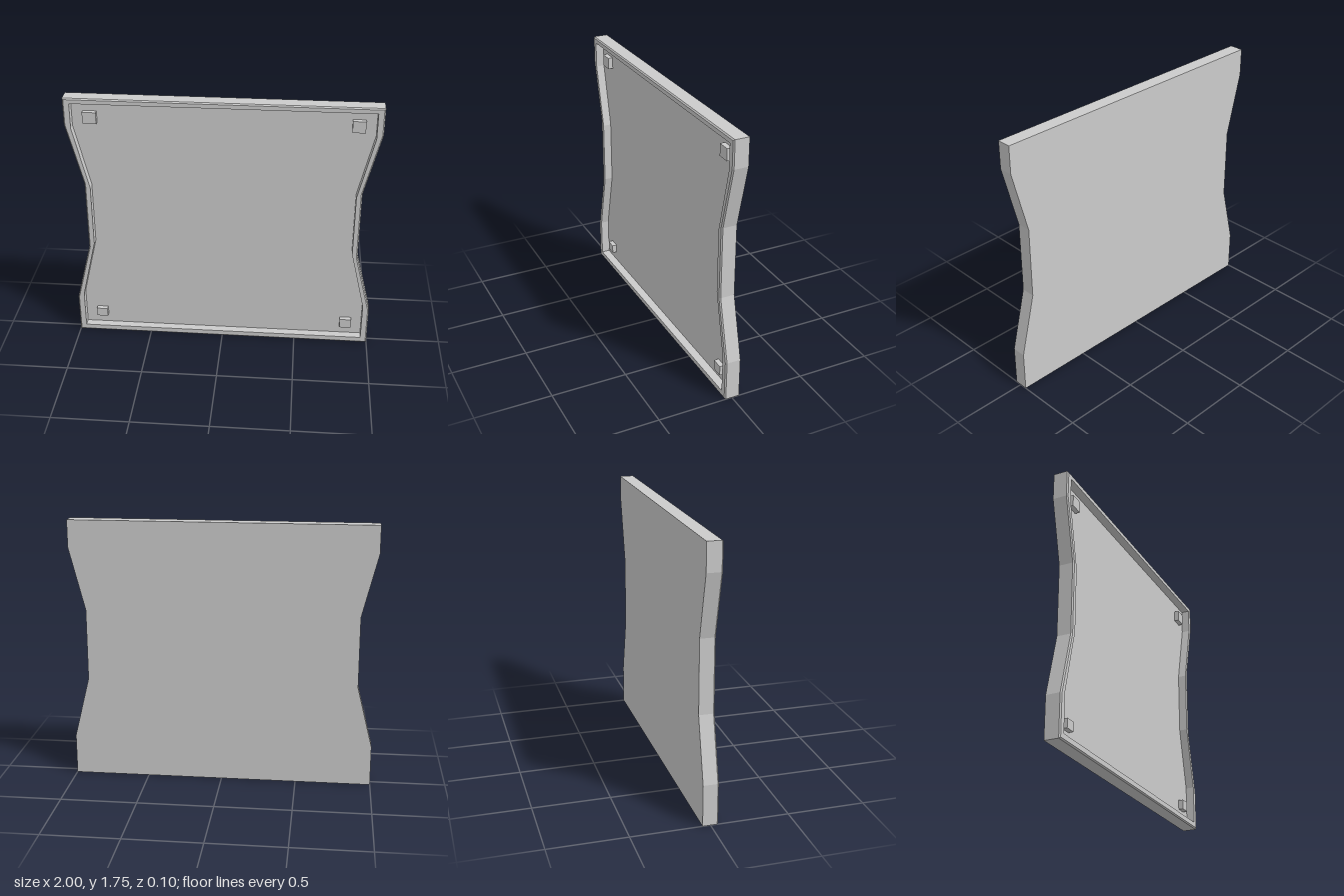
import * as THREE from 'three';

const BACK = -0.05, FRONT = 0.05, FLOOR = -0.005, BEVEL = 0.008;

// Waisted outline, counter-clockwise from the front; ys run from bottom to top.
function outline(wide, waist, ys) {
  const xs = [wide, wide, waist, waist, wide, wide];
  const right = ys.map((y, i) => new THREE.Vector2(xs[i], y));
  const left = right.map((p) => new THREE.Vector2(-p.x, p.y)).reverse();
  return [...right, ...left];
}

// Joins successive outlines with flat strips and caps both ends.
function loftPanel(sections) {
  const pos = [];
  const put = (p, z) => pos.push(p.x, p.y, z);
  const cap = ({ pts, z }, flip) => {
    for (const [a, b, c] of THREE.ShapeUtils.triangulateShape(pts, [])) {
      for (const i of flip ? [a, c, b] : [a, b, c]) put(pts[i], z);
    }
  };
  cap(sections[0], true);
  for (let s = 0; s < sections.length - 1; s++) {
    const lo = sections[s], hi = sections[s + 1], n = lo.pts.length;
    for (let i = 0; i < n; i++) {
      const j = (i + 1) % n;
      put(lo.pts[i], lo.z); put(lo.pts[j], lo.z); put(hi.pts[j], hi.z);
      put(lo.pts[i], lo.z); put(hi.pts[j], hi.z); put(hi.pts[i], hi.z);
    }
  }
  cap(sections[sections.length - 1], false);
  const geo = new THREE.BufferGeometry();
  geo.setAttribute('position', new THREE.Float32BufferAttribute(pos, 3));
  geo.computeVertexNormals();
  return geo;
}

export function createModel() {
  const group = new THREE.Group();
  group.name = 'waistedPanel';
  const material = new THREE.MeshStandardMaterial({ color: 0xcccccc, flatShading: true });

  // Tray: outer wall, bevelled front edge, flat rim, recess wall and recess floor
  const outer = outline(1, 0.897, [0, 0.27, 0.68, 1.155, 1.57, 1.75]);
  const rim = outline(1 - BEVEL, 0.897 - BEVEL, [BEVEL, 0.27, 0.68, 1.155, 1.57, 1.75 - BEVEL]);
  const inner = outline(0.957, 0.86, [0.04, 0.295, 0.705, 1.13, 1.545, 1.715]);
  const tray = new THREE.Mesh(loftPanel([
    { pts: outer, z: BACK },
    { pts: outer, z: FRONT - BEVEL },
    { pts: rim, z: FRONT },
    { pts: inner, z: FRONT },
    { pts: inner, z: FLOOR },
  ]), material);
  tray.name = 'recessedPanel';
  group.add(tray);

  // Corner pads standing on the recess floor
  const padTop = 0.027;
  const pads = [
    ['upperRightPad', -0.885, -0.797, 1.573, 1.65],
    ['upperLeftPad', 0.807, 0.89, 1.573, 1.65],
    ['lowerRightPad', -0.88, -0.805, 0.105, 0.165],
    ['lowerLeftPad', 0.81, 0.887, 0.102, 0.167],
  ];
  for (const [name, x0, x1, y0, y1] of pads) {
    const pad = new THREE.Mesh(new THREE.BoxGeometry(x1 - x0, y1 - y0, padTop - FLOOR), material);
    pad.position.set((x0 + x1) / 2, (y0 + y1) / 2, (padTop + FLOOR) / 2);
    pad.name = name;
    group.add(pad);
  }
  return group;
}
